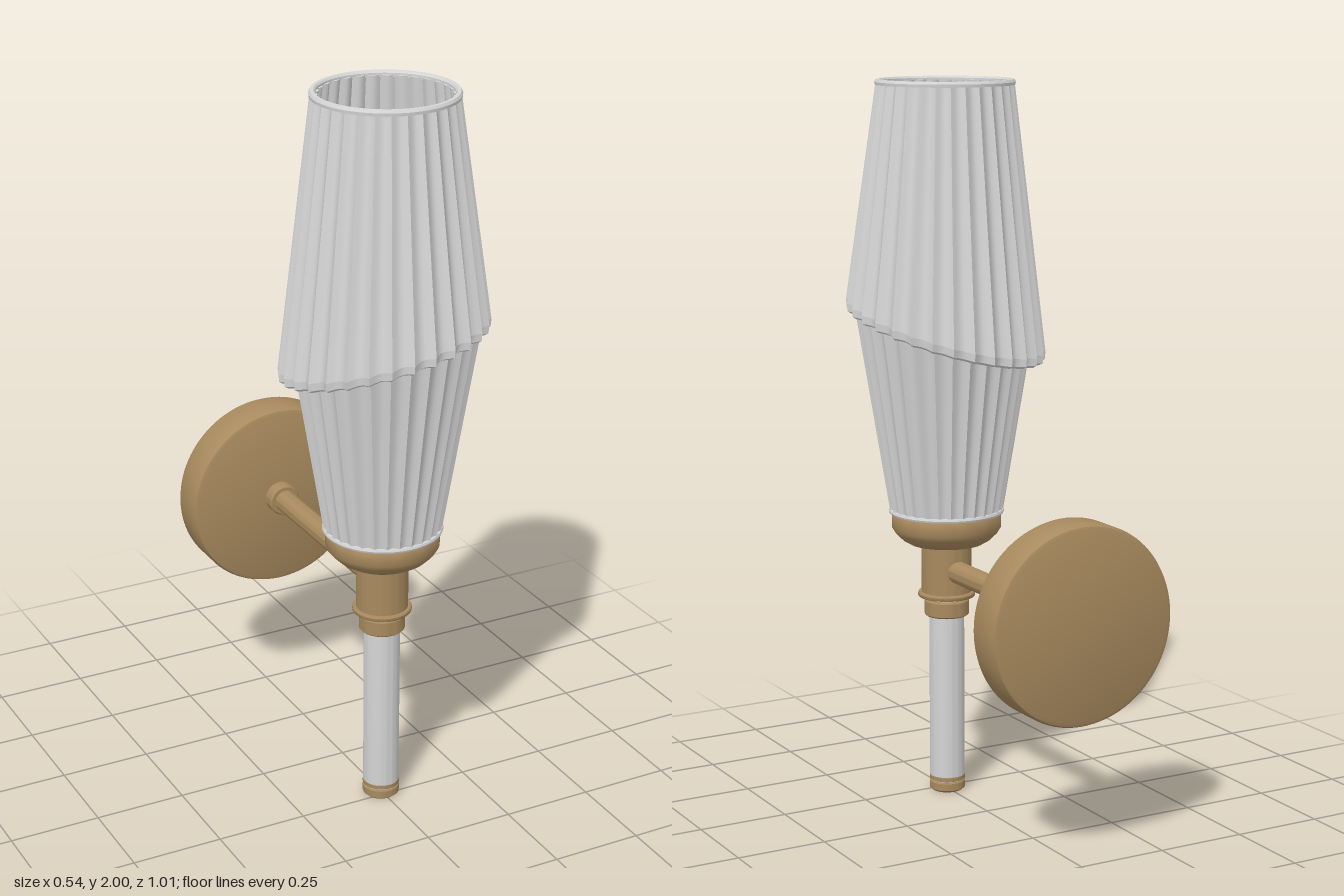
import * as THREE from 'three';
import { toCreasedNormals } from 'three/addons/utils/BufferGeometryUtils.js';

const AXIS_Z = 0.23; // upright axis of the lamp
const ARM_Y = 0.645; // height of arm and wall plate
const FLUTES = 30;

// Turned part from [radius, height] pairs, listed from bottom to top
function turned(name, points, material, segments = 64) {
  const profile = points.map(([r, y]) => new THREE.Vector2(r, y));
  const geometry = toCreasedNormals(new THREE.LatheGeometry(profile, segments), 0.6);
  const mesh = new THREE.Mesh(geometry, material);
  mesh.name = name;
  return mesh;
}

// Fluted shell: each flute is a hollow arc between two sharp ridges.
// profile(angle) returns a closed loop of [radius, height, flute depth].
function flutedShell(profile) {
  const positions = [], index = [], steps = 5;
  const bands = profile(0).length;
  for (let f = 0; f < FLUTES; f++) {
    for (let b = 0; b < bands; b++) {
      const start = positions.length / 3;
      for (let s = 0; s <= steps; s++) {
        const t = s / steps;
        const angle = ((f + t) / FLUTES) * Math.PI * 2;
        const loop = profile(angle);
        for (const [r, y, depth] of [loop[b], loop[(b + 1) % bands]]) {
          const radius = r - depth * Math.sin(Math.PI * t);
          positions.push(radius * Math.sin(angle), y, radius * Math.cos(angle));
        }
        if (s < steps) {
          const i = start + s * 2;
          index.push(i, i + 2, i + 3, i, i + 3, i + 1);
        }
      }
    }
  }
  const geometry = new THREE.BufferGeometry();
  geometry.setAttribute('position', new THREE.Float32BufferAttribute(positions, 3));
  geometry.setIndex(index);
  geometry.computeVertexNormals();
  return geometry;
}

// Shade section: narrow base, slanted overhanging step, tapered top
function shadeProfile(angle) {
  const edge = 1.315 + 0.075 * Math.cos(angle - Math.PI / 4);
  const waist = 0.158 + (edge - 0.82) * 0.165;
  return [
    [0.158, 0.815, 0.008],
    [waist, edge, 0.014],
    [0.262, edge - 0.012, 0.017],
    [0.272, edge - 0.006, 0.018],
    [0.274, edge + 0.015, 0.018],
    [0.188, 1.99, 0.009],
    [0.176, 1.99, 0.009],
    [0.256, edge + 0.02, 0.016],
    [waist - 0.012, edge + 0.015, 0.014],
    [0.144, 0.815, 0.008],
  ];
}

export function createModel() {
  const brass = new THREE.MeshStandardMaterial({ color: 0xa88a5e });
  brass.name = 'brass';
  const glass = new THREE.MeshStandardMaterial({ color: 0xd6d6d6 });
  glass.name = 'white glass';

  const model = new THREE.Group();
  model.name = 'wallLamp';
  const lamp = new THREE.Group();
  lamp.name = 'lamp';
  lamp.position.z = AXIS_Z;
  model.add(lamp);

  // Fluted shade with smooth rims
  const shade = new THREE.Mesh(flutedShell(shadeProfile), glass);
  shade.name = 'shade';
  lamp.add(shade);
  lamp.add(turned('shadeTopRim', [
    [0.174, 1.985], [0.19, 1.985], [0.191, 1.993], [0.187, 2], [0.178, 2], [0.174, 1.995], [0.174, 1.985],
  ], glass));
  lamp.add(turned('shadeBaseRim', [
    [0.107, 0.807], [0.159, 0.807], [0.161, 0.812], [0.159, 0.818], [0.128, 0.818], [0.107, 0.818],
  ], glass));

  // Cup, neck and flange
  lamp.add(turned('cupAndNeck', [
    [0, 0.566], [0.078, 0.566], [0.08, 0.569], [0.08, 0.576], [0.077, 0.58], [0.07, 0.58],
    [0.07, 0.718], [0.105, 0.72], [0.125, 0.732], [0.143, 0.75], [0.152, 0.765],
    [0.152, 0.8], [0.148, 0.807], [0.107, 0.807], [0.107, 0.822], [0, 0.822],
  ], brass));
  lamp.add(turned('cupInnerRing', [
    [0.126, 0.816], [0.137, 0.816], [0.137, 0.821], [0.126, 0.821], [0.126, 0.816],
  ], brass));

  // Bulb with a flat filament on top
  lamp.add(turned('bulb', [
    [0.045, 0.82], [0.045, 0.925], [0.04, 0.932], [0.012, 0.934], [0, 0.934],
  ], glass, 32));
  const filament = new THREE.Mesh(new THREE.BoxGeometry(0.07, 0.008, 0.007), brass);
  filament.name = 'filament';
  filament.position.y = 0.936;
  lamp.add(filament);

  // Lower stem with collar and end cap
  lamp.add(turned('stem', [[0.048, 0.03], [0.049, 0.045], [0.049, 0.567]], glass, 48));
  lamp.add(turned('stemCollar', [
    [0.049, 0.511], [0.058, 0.511], [0.062, 0.515], [0.062, 0.553], [0.059, 0.557], [0.049, 0.557],
  ], brass, 48));
  lamp.add(turned('endCap', [
    [0, 0], [0.043, 0], [0.05, 0.006], [0.05, 0.026], [0.047, 0.028], [0.047, 0.031],
    [0.05, 0.033], [0.05, 0.044], [0.047, 0.046], [0, 0.046],
  ], brass, 48));

  // Wall mount, turned along z: height 0 is the wall side
  const mount = new THREE.Group();
  mount.name = 'wallMount';
  mount.position.set(0, ARM_Y, -0.508);
  mount.rotation.x = Math.PI / 2;
  mount.add(turned('wallPlate', [
    [0, 0], [0.252, 0], [0.262, 0.004], [0.267, 0.015], [0.267, 0.102],
    [0.262, 0.113], [0.252, 0.117], [0, 0.117],
  ], brass, 96));
  mount.add(turned('armCollar', [
    [0.045, 0.115], [0.045, 0.147], [0.041, 0.152], [0.03, 0.152],
  ], brass, 48));
  mount.add(turned('arm', [[0.031, 0.115], [0.031, 0.72]], brass, 32));
  model.add(mount);

  return model;
}
